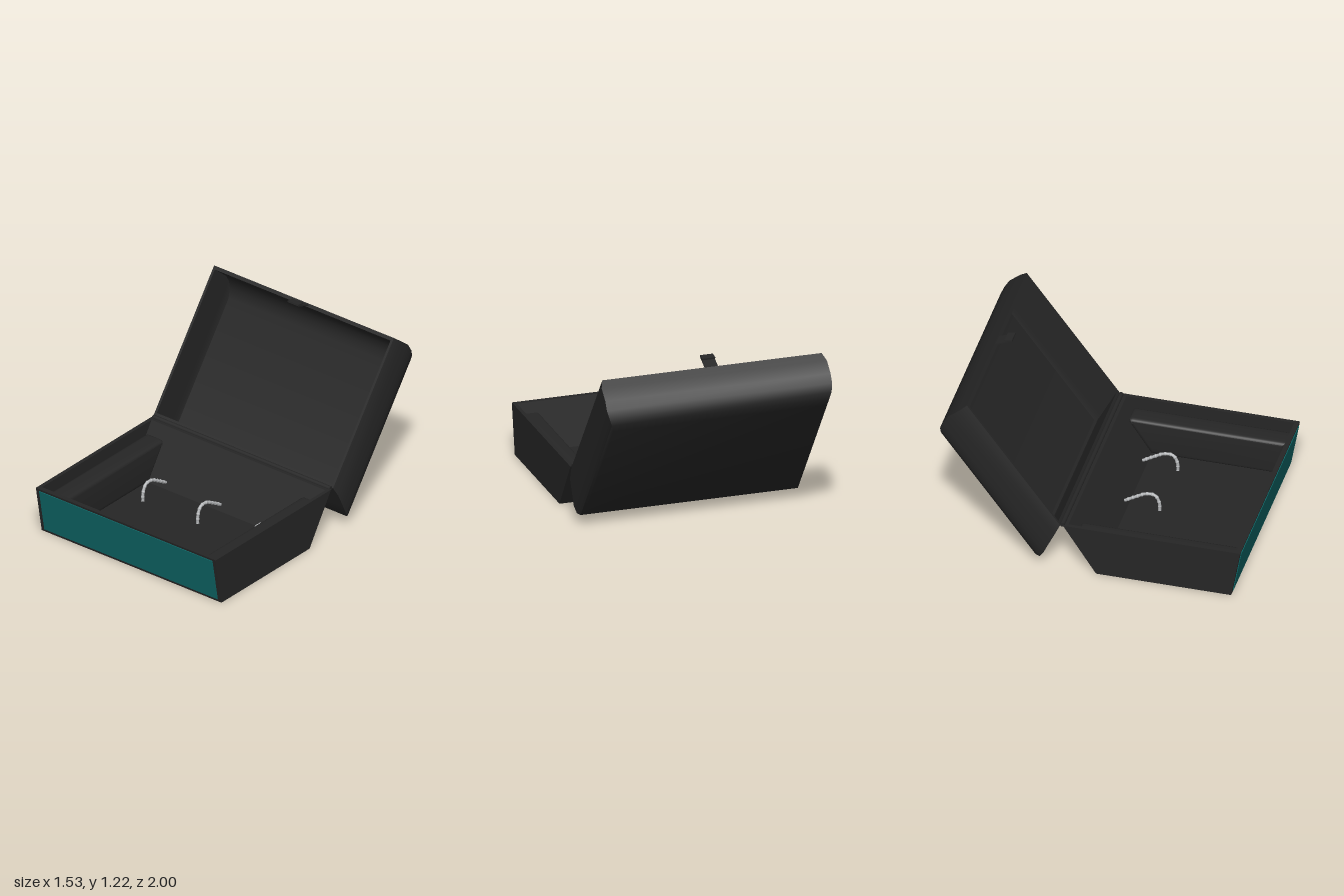
import * as THREE from 'three';
import { toCreasedNormals } from 'three/addons/utils/BufferGeometryUtils.js';

// Closed skin through rectangular sections [y, zMin, zMax, halfWidth]:
// up the outside, over the rim, and down the inside makes an open tray.
function loft(sections, crease) {
  const loops = sections.map(([y, a, b, w]) => [[-w, y, a], [-w, y, b], [w, y, b], [w, y, a]]);
  const pos = [];
  const quad = (a, b, c, d) => pos.push(...a, ...b, ...c, ...a, ...c, ...d);
  const [p0, p1, p2, p3] = loops[0];
  quad(p0, p3, p2, p1);
  for (let k = 0; k < loops.length - 1; k++) {
    const p = loops[k], q = loops[k + 1];
    for (let i = 0; i < 4; i++) {
      const j = (i + 1) % 4;
      quad(p[i], p[j], q[j], q[i]);
    }
  }
  quad(...loops[loops.length - 1]);
  const geo = new THREE.BufferGeometry();
  geo.setAttribute('position', new THREE.Float32BufferAttribute(pos, 3));
  geo.computeVertexNormals();
  return toCreasedNormals(geo, crease);
}

export function createModel() {
  const black = new THREE.MeshStandardMaterial({ name: 'black shell', color: 0x262626 });
  const teal = new THREE.MeshStandardMaterial({ name: 'teal panel', color: 0x0e6868 });
  const silver = new THREE.MeshStandardMaterial({ name: 'silver metal', color: 0xb4b6b8 });

  const model = new THREE.Group();
  model.name = 'openCase';
  const add = (name, geo, mat, x = 0, y = 0, z = 0, rx = 0, parent = model) => {
    const mesh = new THREE.Mesh(geo, mat);
    mesh.name = name;
    mesh.position.set(x, y, z);
    mesh.rotation.x = rx;
    parent.add(mesh);
    return mesh;
  };

  // Base tray with sloping front and back
  add('baseTray', loft([
    [0, 0.04, 0.94, 0.745], [0.34, -0.18, 1, 0.745],
    [0.34, -0.15, 0.968, 0.72], [0.02, 0.055, 0.905, 0.72],
  ], 0.3), black);

  // Coloured front panel
  add('frontPanel', new THREE.BoxGeometry(1.435, 0.31, 0.008), teal, 0, 0.172, 0.971, 0.175);

  // Rounded pods along both inner sides
  const podShape = new THREE.Shape();
  podShape.moveTo(0.05, 0.02);
  podShape.lineTo(0.9, 0.02);
  podShape.lineTo(0.95, 0.27);
  podShape.lineTo(-0.07, 0.27);
  podShape.quadraticCurveTo(-0.11, 0.27, -0.095, 0.24);
  podShape.closePath();
  const pod = new THREE.ExtrudeGeometry(podShape, {
    depth: 0.09, bevelThickness: 0.03, bevelSize: 0.03, bevelOffset: -0.03, bevelSegments: 4, curveSegments: 6,
  });
  pod.rotateY(-Math.PI / 2).translate(0.045, 0, 0);
  const podGeo = toCreasedNormals(pod, 0.6);
  add('leftPod', podGeo, black, 0.645);
  add('rightPod', podGeo, black, -0.645);

  // Curved silver loops with beaded ribs, reaching from floor to back wall
  const loopCurve = new THREE.CatmullRomCurve3([
    [0.265, 0.015], [0.262, 0.08], [0.235, 0.13], [0.18, 0.135], [0.1, 0.095], [0.025, 0.05],
  ].map(([z, y]) => new THREE.Vector3(0, y, z)));
  const loopGeo = new THREE.TubeGeometry(loopCurve, 32, 0.01, 10);
  const ribGeo = new THREE.SphereGeometry(0.0125, 10, 8);
  for (const x of [-0.455, 0, 0.45]) {
    const holder = new THREE.Group();
    holder.name = 'holderLoop';
    holder.position.x = x;
    model.add(holder);
    add('loopWire', loopGeo, silver, 0, 0, 0, 0, holder);
    for (let i = 0; i <= 10; i++) {
      const p = loopCurve.getPointAt(i / 10);
      add('loopRib', ribGeo, silver, p.x, p.y, p.z, 0, holder);
    }
  }

  // Hinge rod
  const rod = new THREE.CylinderGeometry(0.016, 0.016, 1.47, 12).rotateZ(Math.PI / 2);
  add('hingeRod', rod, black, 0, 0.34, -0.188);

  // Lid: a deep rounded tray swung back on the hinge
  const lid = new THREE.Group();
  lid.name = 'lid';
  lid.position.set(0, 0.34, -0.2);
  lid.rotation.x = 0.934;
  model.add(lid);
  add('lidShell', loft([
    [-0.299, -0.89, 0.09, 0.72], [-0.29, -0.945, 0.118, 0.738], [-0.265, -0.983, 0.133, 0.753],
    [-0.215, -1.012, 0.115, 0.765], [-0.155, -1.037, 0.082, 0.765],
    [-0.06, -1.042, 0.032, 0.765], [0, -1.044, 0, 0.745],
    [0, -1.02, -0.025, 0.728], [-0.155, -1.01, 0.052, 0.73], [-0.21, -0.985, 0.08, 0.73],
    [-0.25, -0.945, 0.098, 0.73], [-0.272, -0.88, 0.09, 0.725],
  ], 0.75), black, 0, 0, 0, 0, lid);

  // Latch tongue on the lid and its catch on the base
  add('latchArm', new THREE.BoxGeometry(0.088, 0.008, 0.118), black, 0, 1.188, -0.772, -0.38);
  add('latchHead', new THREE.BoxGeometry(0.088, 0.011, 0.05), black, 0, 1.213, -0.732, -0.15);
  add('latchCatch', new THREE.BoxGeometry(0.1, 0.02, 0.03), black, 0, 0.332, 0.982);

  return model;
}
